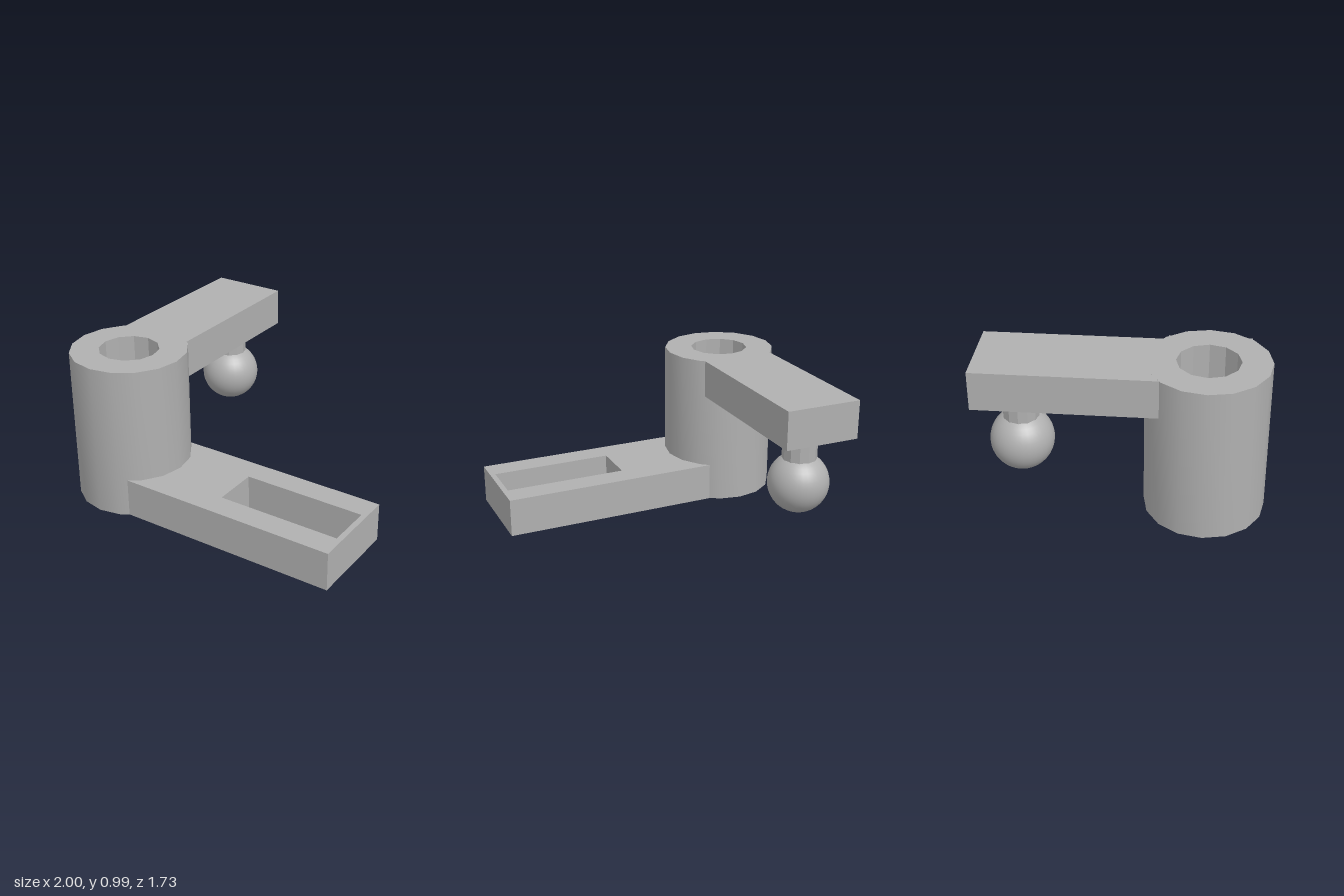
import * as THREE from 'three';
import { toCreasedNormals } from 'three/addons/utils/BufferGeometryUtils.js';

const HUB = { x: -0.63, z: 0.49, r: 0.37, hole: 0.19 };

// Points of a regular arc around the hub axis, as (x, z) pairs
function arc(radius, sides, from, to) {
  const points = [];
  for (let i = from; i <= to; i++) {
    const a = (i / sides) * Math.PI * 2;
    points.push(new THREE.Vector2(HUB.x + radius * Math.cos(a), HUB.z + radius * Math.sin(a)));
  }
  return points;
}

// Plate with an (x, z) outline and hole, standing between two heights
function plate(outline, hole, bottom, top) {
  const shape = new THREE.Shape(outline);
  if (hole) shape.holes.push(new THREE.Path(hole));
  const geometry = new THREE.ExtrudeGeometry(shape, { depth: top - bottom, bevelEnabled: false });
  geometry.rotateX(Math.PI / 2).translate(0, top, 0);
  // Smooths the 16-sided hub but keeps the 12-sided bore faceted
  return toCreasedNormals(geometry, 0.45);
}

export function createModel() {
  const model = new THREE.Group();
  const grey = new THREE.MeshStandardMaterial({ color: 0xb0b0b0 });
  grey.name = 'grey';
  const v = (x, z) => new THREE.Vector2(x, z);

  function add(name, geometry, x = 0, y = 0, z = 0) {
    const mesh = new THREE.Mesh(geometry, grey);
    mesh.name = name;
    mesh.position.set(x, y, z);
    model.add(mesh);
  }

  // Upright hub with a through bore
  add('hub', plate(arc(HUB.r, 16, 0, 15), arc(HUB.hole, 12, 0, 11), 0, 0.99));

  // Slotted lower arm, its inner end following the hub
  add('lowerArm', plate(
    [v(-0.422, 0.185), v(1, 0.185), v(1, 0.8), v(-0.44, 0.8), ...arc(HUB.r, 16, -2, 2).reverse()],
    [v(0.165, 0.345), v(0.965, 0.345), v(0.965, 0.64), v(0.165, 0.64)],
    0, 0.25));

  // Upper arm reaching to the back
  add('upperArm', plate(
    [v(-0.39, 0.215), v(-0.39, -0.865), v(-0.88, -0.865), v(-0.88, 0.22), ...arc(HUB.r, 16, 11, 13)],
    null, 0.745, 0.99));

  // Ball hanging on a short stem
  const stem = new THREE.CylinderGeometry(0.11, 0.11, 0.21, 12);
  add('ballStem', toCreasedNormals(stem, 0.45), -0.635, 0.65, -0.615);
  add('ball', new THREE.SphereGeometry(0.195, 32, 20), -0.635, 0.41, -0.615);

  return model;
}
